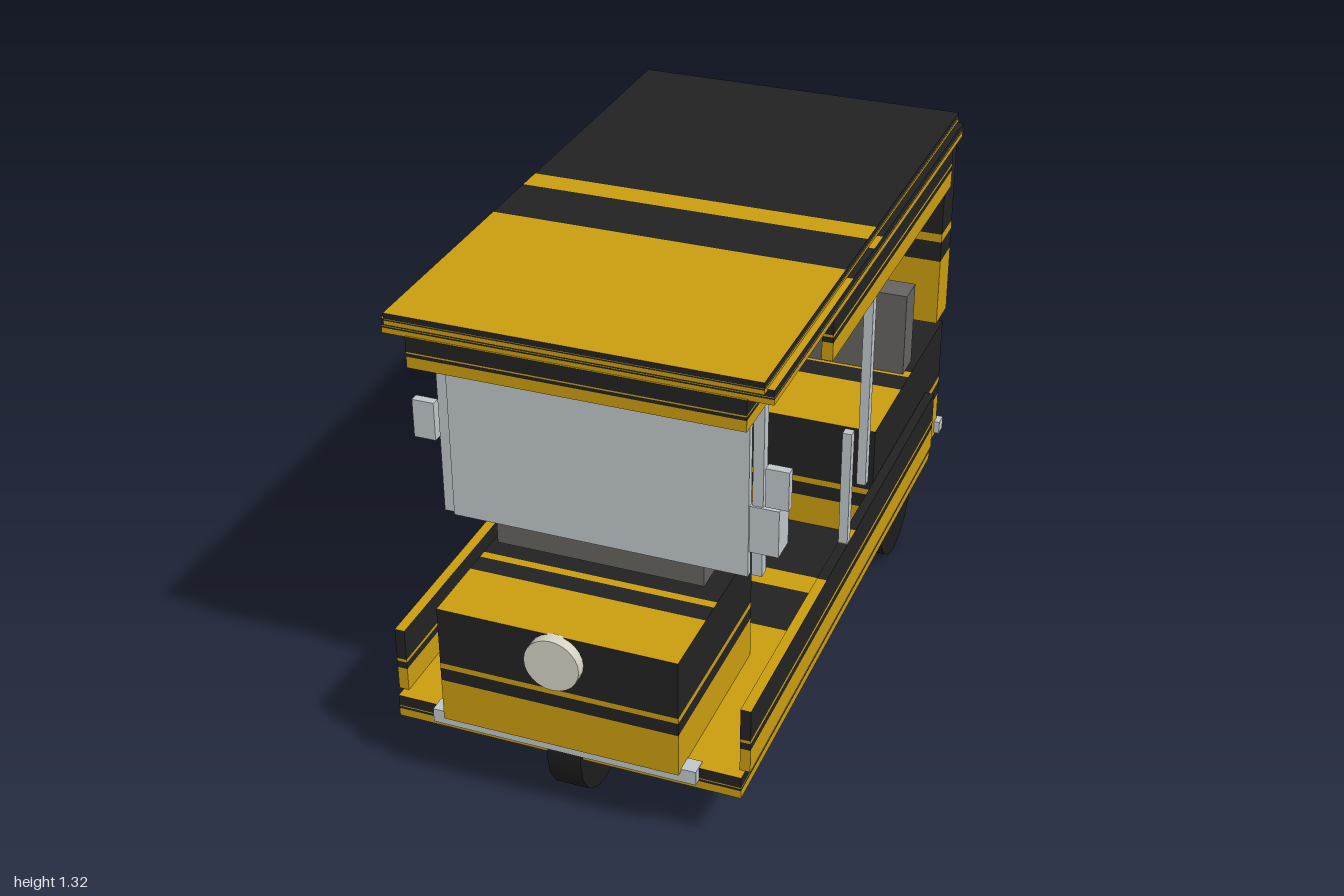
import * as THREE from 'three';

const mat = (name, color, extra = {}) => Object.assign(new THREE.MeshStandardMaterial({ color, ...extra }), { name });

// Box whose every face carries the same livery: yellow base, black, thin yellow line, black
function bandedGeometry(w, h, d) {
  const box = new THREE.BoxGeometry(w, h, d);
  const p = box.attributes.position, n = box.attributes.normal;
  const stops = [0, 0.36, 0.47, 0.515, 1];
  const pos = [], nor = [];
  const geo = new THREE.BufferGeometry();
  for (let colour = 0; colour < 2; colour++) {
    const start = pos.length / 3;
    for (let face = 0; face < 6; face++) {
      const [tl, tr, bl, br] = [0, 1, 2, 3].map(i => new THREE.Vector3().fromBufferAttribute(p, face * 4 + i));
      for (let band = colour; band < 4; band += 2) {
        const [v0, v1] = [stops[band], stops[band + 1]];
        const a = bl.clone().lerp(tl, v1), b = br.clone().lerp(tr, v1);
        const c = bl.clone().lerp(tl, v0), e = br.clone().lerp(tr, v0);
        for (const q of [a, c, b, c, e, b]) {
          pos.push(q.x, q.y, q.z);
          nor.push(n.getX(face * 4), n.getY(face * 4), n.getZ(face * 4));
        }
      }
    }
    geo.addGroup(start, pos.length / 3 - start, colour);
  }
  geo.setAttribute('position', new THREE.Float32BufferAttribute(pos, 3));
  geo.setAttribute('normal', new THREE.Float32BufferAttribute(nor, 3));
  return geo;
}

export function createModel() {
  const model = new THREE.Group();
  model.name = 'autoRickshaw';
  const yellow = mat('bodyYellow', 0xc99c0e);
  const black = mat('bodyBlack', 0x222222);
  const silver = mat('silver', 0xbfc5ca);
  const grey = mat('seatGrey', 0x65625f);
  const rubber = mat('tyreBlack', 0x1c1c1c);
  const lamp = mat('lampCream', 0xd6d2c4);

  const add = (name, geo, material, x, y, z) => {
    const m = new THREE.Mesh(geo, material);
    m.name = name;
    m.position.set(x, y, z);
    model.add(m);
    return m;
  };
  // Boxes are given by their min and max on each axis
  const box = (name, material, [x0, x1], [y0, y1], [z0, z1]) => {
    const size = [x1 - x0, y1 - y0, z1 - z0];
    const geo = material ? new THREE.BoxGeometry(...size) : bandedGeometry(...size);
    return add(name, geo, material || [yellow, black], (x0 + x1) / 2, (y0 + y1) / 2, (z0 + z1) / 2);
  };
  const banded = (name, x, y, z) => box(name, null, x, y, z);
  const pair = (name, material, [x0, x1], y, z) => {
    box(name + 'Left', material, [x0, x1], y, z);
    box(name + 'Right', material, [-x1, -x0], y, z);
  };

  // Lower body
  banded('chassis', [-0.48, 0.48], [0.17, 0.235], [-0.84, 0.93]);
  banded('frontHood', [-0.327, 0.327], [0.23, 0.577], [0.43, 0.97]);
  banded('rearBody', [-0.463, 0.463], [0.185, 0.59], [-0.98, -0.245]);
  pair('sidePanel', null, [0.465, 0.493], [0.235, 0.425], [-0.805, 0.9]);

  // Roof and upper body
  banded('roofTop', [-0.49, 0.49], [1.29, 1.322], [-0.9, 0.835]);
  banded('roofRim', [-0.508, 0.508], [1.255, 1.295], [-0.89, 0.815]);
  banded('frontHeader', [-0.443, 0.443], [1.172, 1.258], [0.63, 0.82]);
  pair('roofSideRail', null, [0.465, 0.495], [1.113, 1.257], [-0.84, 0.315]);
  banded('rearPanel', [-0.49, 0.49], [0.68, 1.257], [-0.9, -0.787]);

  // Windshield, pillars and poles
  box('windshield', silver, [-0.407, 0.407], [0.675, 1.153], [0.672, 0.692]);
  pair('windshieldPillar', silver, [0.412, 0.44], [0.675, 1.175], [0.65, 0.68]);
  pair('roofPole', silver, [0.466, 0.492], [0.525, 1.13], [-0.086, -0.058]);
  pair('grabPost', silver, [0.465, 0.491], [0.425, 0.776], [0.07, 0.097]);
  pair('mirror', silver, [0.448, 0.509], [0.89, 1.0], [0.665, 0.69]);
  box('fareMeter', silver, [0.405, 0.484], [0.745, 0.88], [0.61, 0.685]);

  // Bumpers
  box('frontBumper', silver, [-0.367, 0.367], [0.197, 0.238], [0.905, 0.953]);
  box('rearBumper', silver, [-0.48, 0.48], [0.197, 0.238], [-0.996, -0.955]);

  // Dashboard and seats
  box('dashboard', grey, [-0.288, 0.288], [0.612, 0.75], [0.52, 0.685]);
  box('driverSeat', grey, [-0.163, 0.163], [0.235, 0.51], [0.1, 0.37]);
  box('driverBackrest', grey, [-0.163, 0.163], [0.235, 0.745], [0.055, 0.11]);
  box('passengerBackrest', grey, [-0.442, 0.442], [0.585, 0.85], [-0.692, -0.602]);
  add('handlebar', new THREE.CylinderGeometry(0.013, 0.013, 0.3, 12), silver, 0, 0.715, 0.51).rotation.z = Math.PI / 2;

  // Headlight
  add('headlight', new THREE.CylinderGeometry(0.075, 0.075, 0.035, 24), lamp, 0, 0.505, 0.9825).rotation.x = Math.PI / 2;

  // Wheels
  const wheel = (name, x, z, width) => {
    const geo = new THREE.CylinderGeometry(0.168, 0.168, width, 16);
    add(name, geo, rubber, x, 0.168, z).rotation.z = Math.PI / 2;
  };
  wheel('frontWheel', 0, 0.778, 0.094);
  wheel('rearWheelLeft', 0.402, -0.557, 0.107);
  wheel('rearWheelRight', -0.402, -0.557, 0.107);

  return model;
}
